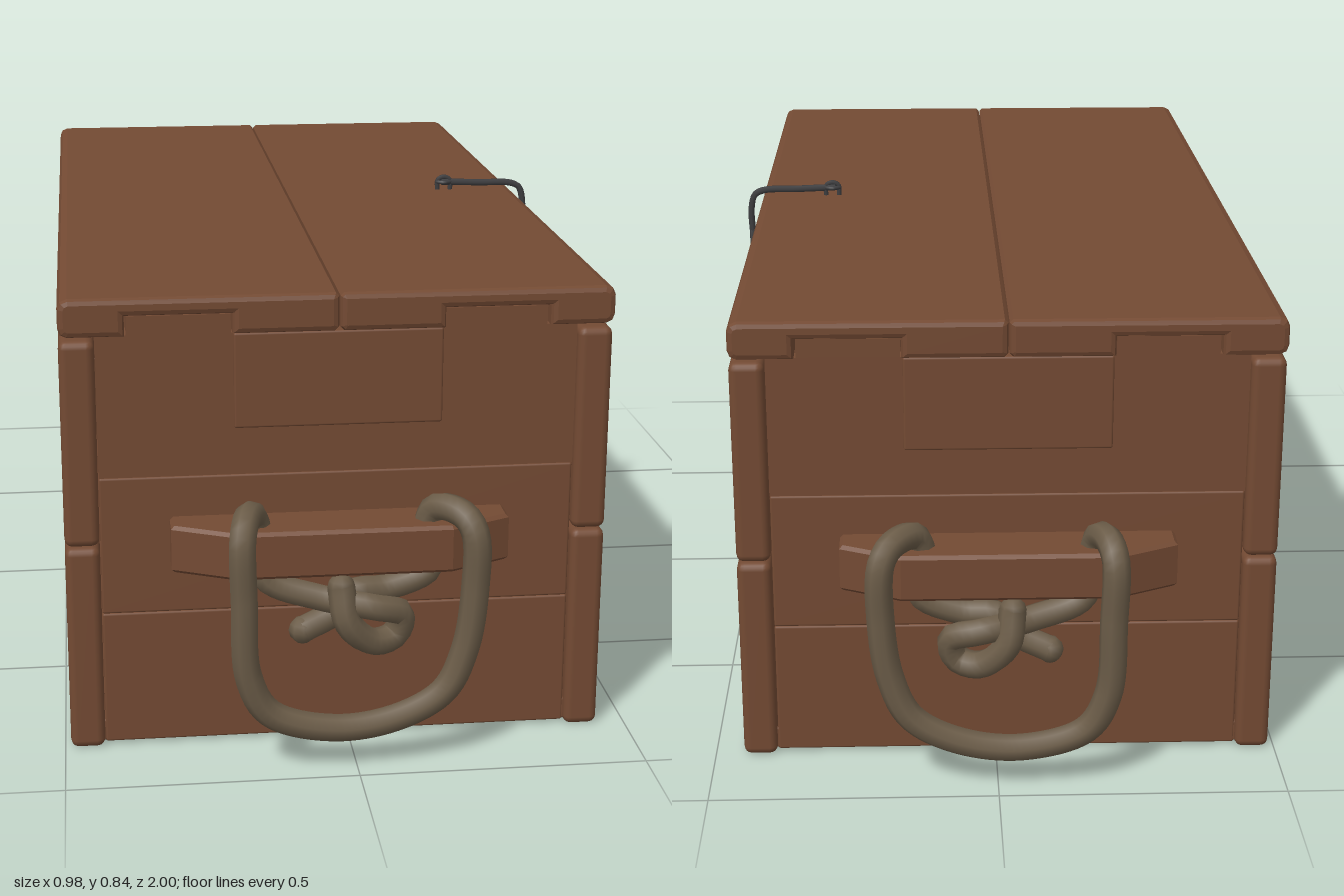
import * as THREE from 'three';
import { RoundedBoxGeometry } from 'three/addons/geometries/RoundedBoxGeometry.js';

const CX = -0.02; // centre line of the wooden box
const V = (x, y, z) => new THREE.Vector3(x, y, z);

export function createModel() {
  const root = new THREE.Group();
  root.name = 'woodenCrate';

  const wood = new THREE.MeshStandardMaterial({ color: 0x734a33 });
  wood.name = 'brownWood';
  const rope = new THREE.MeshStandardMaterial({ color: 0x6b5c48 });
  rope.name = 'rope';
  const metal = new THREE.MeshStandardMaterial({ color: 0x3e3e40 });
  metal.name = 'darkMetal';

  const add = (name, geo, mat, parent = root) => {
    const m = new THREE.Mesh(geo, mat);
    m.name = name;
    parent.add(m);
    return m;
  };
  const board = (name, x0, x1, y0, y1, z0, z1, r) => {
    const geo = new RoundedBoxGeometry(x1 - x0, y1 - y0, z1 - z0, 2, r);
    geo.translate((x0 + x1) / 2, (y0 + y1) / 2, (z0 + z1) / 2);
    return add(name, geo, wood);
  };
  const outline = (pts) => new THREE.Shape(pts.map(([x, y]) => new THREE.Vector2(x, y)));
  const tube = (name, pts, r, mat, parent, closed = false, segs = 60, sides = 8) =>
    add(name, new THREE.TubeGeometry(
      new THREE.CatmullRomCurve3(pts, closed, 'centripetal'), segs, r, sides, closed), mat, parent);

  // Floor, and two long boards on each side
  board('floor', -0.44, 0.4, 0.01, 0.05, -0.835, 0.835, 0.004);
  for (const s of [-1, 1]) {
    const xs = [CX + s * 0.41, CX + s * 0.47].sort((a, b) => a - b);
    board('lowerSideBoard', ...xs, 0.003, 0.376, -0.85, 0.85, 0.014);
    board('upperSideBoard', ...xs, 0.378, 0.742, -0.85, 0.85, 0.014);
  }

  // Lid halves, notched underneath to sit over the end boards
  for (const s of [-1, 1]) {
    let pts = [
      [0.001, 0.757], [0.008, 0.75], [0.18, 0.75], [0.18, 0.785], [0.36, 0.785], [0.36, 0.75],
      [0.455, 0.75], [0.466, 0.755], [0.47, 0.766], [0.47, 0.8], [0.465, 0.811], [0.453, 0.816],
      [0.007, 0.816], [0.001, 0.81],
    ].map(([x, y]) => [CX + s * x, y]);
    if (s < 0) pts = pts.reverse();
    const geo = new THREE.ExtrudeGeometry(outline(pts), {
      depth: 1.696, bevelThickness: 0.01, bevelSize: 0.01, bevelOffset: -0.01, bevelSegments: 2,
    });
    geo.translate(0, 0, -0.848);
    add('lidBoard', geo, wood);
  }

  // Both ends: planks, cleat and knotted rope handle
  for (const s of [-1, 1]) {
    const zr = (a, b) => [s * a, s * b].sort((p, q) => p - q);
    board('lowerEndPlank', -0.429, 0.389, 0.008, 0.25, ...zr(0.785, 0.836), 0.004);
    board('middleEndPlank', -0.429, 0.389, 0.25, 0.497, ...zr(0.785, 0.836), 0.004);

    // Upper plank with two tabs that reach into the lid
    const top = outline([
      [-0.429, 0.498], [0.389, 0.498], [0.389, 0.748], [0.337, 0.748], [0.337, 0.781], [0.162, 0.781],
      [0.162, 0.748], [-0.202, 0.748], [-0.202, 0.781], [-0.377, 0.781], [-0.377, 0.748], [-0.429, 0.748],
    ]);
    const topGeo = new THREE.ExtrudeGeometry(top, { depth: 0.052, bevelEnabled: false });
    topGeo.translate(0, 0, s > 0 ? 0.785 : -0.837);
    add('upperEndPlank', topGeo, wood);
    board('endPanel', -0.198, 0.158, 0.582, 0.749, ...zr(0.825, 0.845), 0.004);

    // Tapered cleat
    const cleatPts = [[-0.31, 0.83], [0.27, 0.83], [0.27, 0.885], [0.165, 0.935], [-0.205, 0.935], [-0.31, 0.885]];
    const cleatGeo = new THREE.ExtrudeGeometry(outline(cleatPts.map(([x, z]) => [x, -s * z])), {
      depth: 0.072, bevelThickness: 0.006, bevelSize: 0.006, bevelOffset: -0.006, bevelSegments: 1,
    });
    cleatGeo.rotateX(-Math.PI / 2).translate(0, 0.347, 0);
    add('handleCleat', cleatGeo, wood);

    const handle = new THREE.Group();
    handle.name = 'ropeHandle';
    root.add(handle);
    const path = [
      // First tail, curled round the knot
      [-0.025, 0.32, 0.925], [-0.015, 0.26, 0.94], [0.03, 0.217, 0.925], [0.07, 0.222, 0.91],
      [0.08, 0.262, 0.915], [0.03, 0.282, 0.93], [-0.06, 0.292, 0.9], [-0.15, 0.325, 0.885],
      // Up through the cleat and around the hanging loop
      [-0.16, 0.39, 0.882], [-0.17, 0.44, 0.893], [-0.185, 0.453, 0.935], [-0.195, 0.43, 0.97],
      [-0.194, 0.32, 0.974], [-0.187, 0.18, 0.97], [-0.15, 0.11, 0.965], [-0.04, 0.076, 0.962],
      [0.07, 0.09, 0.96], [0.15, 0.135, 0.958], [0.185, 0.21, 0.956], [0.2, 0.32, 0.956],
      [0.198, 0.42, 0.955], [0.18, 0.447, 0.935], [0.14, 0.445, 0.893],
      // Back down to the second tail
      [0.125, 0.39, 0.882], [0.135, 0.335, 0.885], [0.06, 0.302, 0.89], [0, 0.3, 0.9],
      [-0.03, 0.265, 0.9], [-0.09, 0.24, 0.915],
    ].map(([x, y, z]) => V(x, y, s * z));
    tube('ropeStrand', path, 0.024, rope, handle, false, 160);
    for (const p of [path[0], path[path.length - 1]]) {
      add('ropeEnd', new THREE.SphereGeometry(0.024, 8, 6), rope, handle).position.copy(p);
    }
  }

  // Wire latch hooked over the lid edge
  const latch = new THREE.Group();
  latch.name = 'wireLatch';
  root.add(latch);
  tube('latchRod', [
    V(0.3, 0.832, 0), V(0.38, 0.829, 0), V(0.445, 0.827, 0), V(0.464, 0.818, 0),
    V(0.472, 0.79, 0), V(0.471, 0.735, 0),
  ], 0.007, metal, latch, false, 32, 6);
  tube('latchLoop', [
    V(0.471, 0.745, 0), V(0.47, 0.69, 0.013), V(0.467, 0.63, 0.022), V(0.466, 0.612, 0.012),
    V(0.466, 0.612, -0.012), V(0.467, 0.63, -0.022), V(0.47, 0.69, -0.013),
  ], 0.006, metal, latch, true, 48, 6);
  // Staples that hold the latch on the lid and on the side
  tube('lidStaple', [
    V(0.292, 0.812, 0), V(0.293, 0.836, 0), V(0.305, 0.842, 0), V(0.318, 0.836, 0), V(0.318, 0.812, 0),
  ], 0.005, metal, latch, false, 20, 6);
  tube('lidRing', [
    V(0.305, 0.832, 0.011), V(0.32, 0.832, 0), V(0.305, 0.832, -0.011), V(0.29, 0.832, 0),
  ], 0.004, metal, latch, true, 20, 6);
  tube('sideStaple', [
    V(0.445, 0.66, 0), V(0.478, 0.66, 0), V(0.486, 0.653, 0), V(0.486, 0.627, 0),
    V(0.478, 0.62, 0), V(0.445, 0.62, 0),
  ], 0.005, metal, latch, false, 24, 6);
  tube('sidePin', [V(0.478, 0.64, -0.02), V(0.478, 0.64, 0.02)], 0.005, metal, latch, false, 2, 6);

  return root;
}
